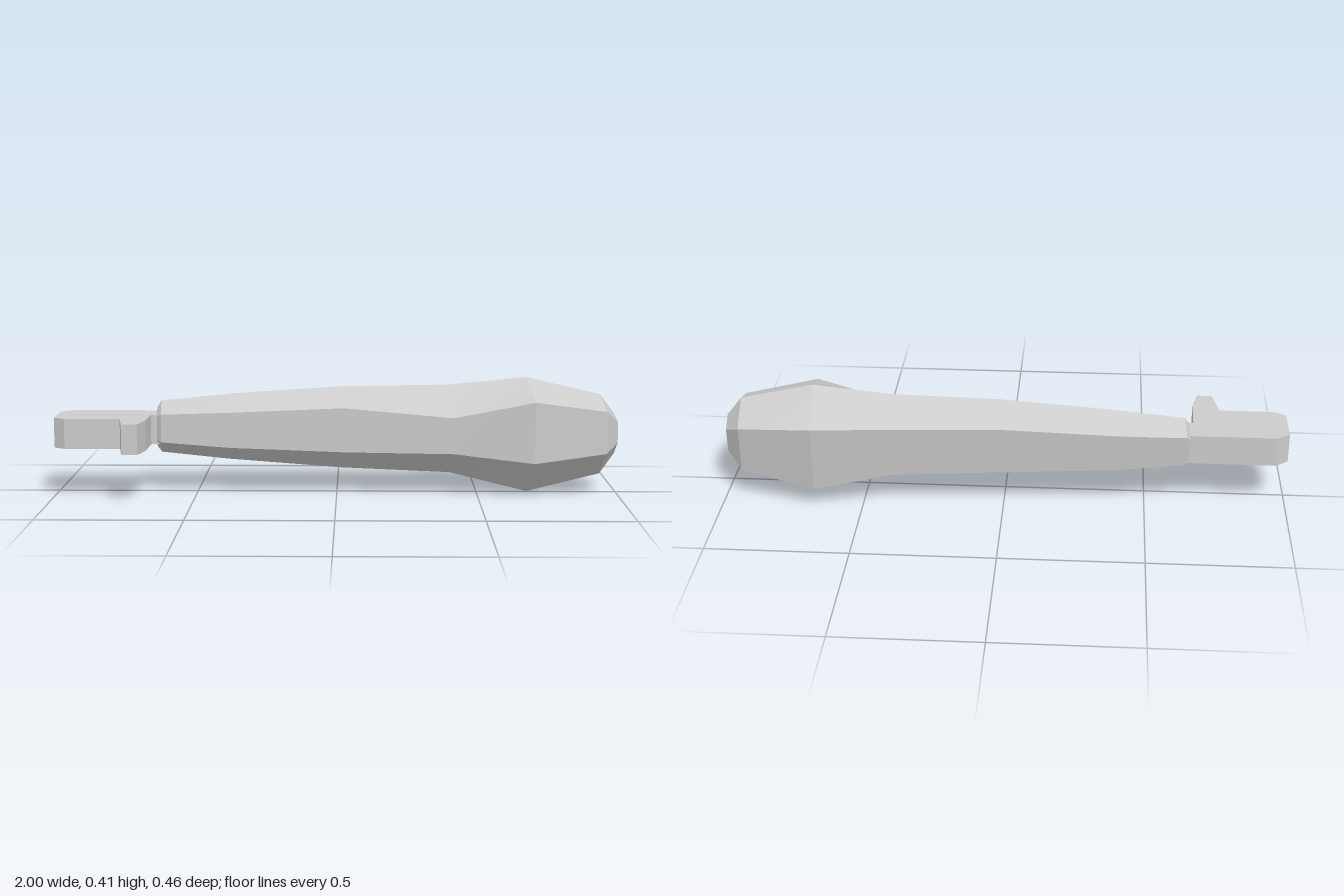
import * as THREE from 'three';
import { toCreasedNormals } from 'three/addons/utils/BufferGeometryUtils.js';

// Handle stations: x, front z, upper front y, lower front y, top y, bottom y, back z
const STATIONS = [
  [-0.645, 0.020, 0.275, 0.190, 0.300, 0.160, -0.105],
  [-0.630, 0.035, 0.285, 0.185, 0.325, 0.140, -0.125],
  [-0.385, 0.060, 0.296, 0.170, 0.350, 0.115, -0.155],
  [0.020, 0.072, 0.315, 0.157, 0.378, 0.085, -0.162],
  [0.405, 0.105, 0.285, 0.157, 0.385, 0.070, -0.190],
  [0.683, 0.148, 0.347, 0.130, 0.413, 0.003, -0.230],
  [0.945, 0.095, 0.307, 0.157, 0.352, 0.068, -0.168],
  [0.998, 0.030, 0.260, 0.187, 0.283, 0.140, -0.100],
];

// Uneven six-sided ring, leaning slightly along x
function ring([x, zf, yUpper, yLower, yTop, yBottom, zb]) {
  const w = zf - zb;
  const h = yTop - yBottom;
  return [
    [zf, yUpper],
    [zb + 0.5 * w, yTop],
    [zb, yTop - 0.21 * h],
    [zb + 0.09 * w, yBottom + 0.18 * h],
    [zb + 0.587 * w, yBottom],
    [zf, yLower],
  ].map(([z, y]) => [x + z * 0.08, y, z]);
}

function handleGeometry() {
  const rings = STATIONS.map(ring);
  const n = 6;
  const last = rings.length - 1;
  const index = [];
  for (let i = 0; i < last; i++) {
    for (let j = 0; j < n; j++) {
      const a = i * n + j;
      const b = i * n + ((j + 1) % n);
      index.push(a, a + n, b + n, a, b + n, b);
    }
  }
  // End caps
  for (let k = 1; k < n - 1; k++) {
    index.push(0, k, k + 1);
    index.push(last * n, last * n + k + 1, last * n + k);
  }
  const geometry = new THREE.BufferGeometry();
  geometry.setAttribute('position', new THREE.Float32BufferAttribute(rings.flat(2), 3));
  geometry.setIndex(index);
  return toCreasedNormals(geometry, 0.3);
}

// Flat bit with one side tooth, drawn from above as [x, z]
function bitGeometry() {
  const outline = [
    [-0.6, -0.098], [-0.958, -0.098], [-1, -0.062], [-1, 0.085], [-0.96, 0.112],
    [-0.763, 0.112], [-0.742, 0.23], [-0.687, 0.23], [-0.668, 0.15], [-0.666, 0.01], [-0.6, 0.01],
  ];
  const shape = new THREE.Shape(outline.map(([x, z]) => new THREE.Vector2(x, -z)));
  const geometry = new THREE.ExtrudeGeometry(shape, { depth: 0.107, bevelEnabled: false });
  geometry.rotateX(-Math.PI / 2);
  geometry.translate(0, 0.174, 0);
  return geometry;
}

export function createModel() {
  const group = new THREE.Group();
  group.name = 'handledTool';
  const grey = new THREE.MeshStandardMaterial({ color: 0xcccccc });
  grey.name = 'light grey';

  const handle = new THREE.Mesh(handleGeometry(), grey);
  handle.name = 'handle';
  const bit = new THREE.Mesh(bitGeometry(), grey);
  bit.name = 'toothedBit';
  group.add(handle, bit);
  return group;
}
